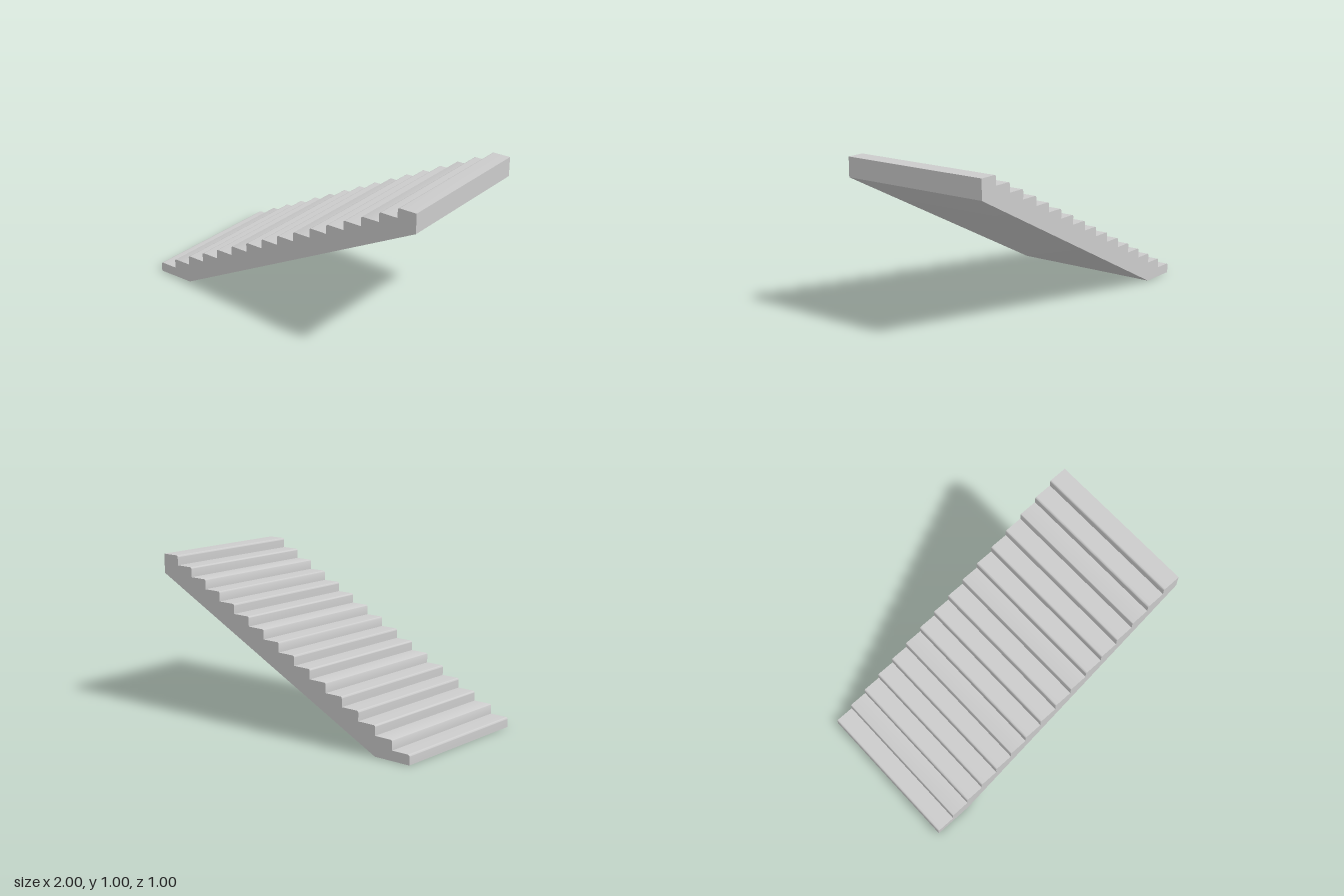
import * as THREE from 'three';
import { toCreasedNormals } from 'three/addons/utils/BufferGeometryUtils.js';

const STEPS = 16;
const RUN = 2 / STEPS;
const RISE = 1 / STEPS;
const WIDTH = 1;
const NOSE = 0.012; // radius of the rounded step edge

// Side profile: sloped underside, then rounded steps climbing toward +x
function stairProfile() {
  const shape = new THREE.Shape();
  shape.moveTo(1, 1);
  shape.lineTo(1, 0.875);
  shape.lineTo(-0.75, 0);
  shape.lineTo(-1, 0);
  for (let i = 0; i < STEPS; i++) {
    const x = -1 + i * RUN;
    const top = (i + 1) * RISE;
    shape.lineTo(x, top - NOSE);
    shape.absarc(x + NOSE, top - NOSE, NOSE, Math.PI, Math.PI / 2, true);
    shape.lineTo(x + RUN, top);
  }
  return shape;
}

export function createModel() {
  const group = new THREE.Group();
  group.name = 'staircase';

  // Solid flight of stairs, extruded across its width
  const extruded = new THREE.ExtrudeGeometry(stairProfile(), {
    depth: WIDTH, bevelEnabled: false, curveSegments: 4,
  });
  extruded.translate(0, 0, -WIDTH / 2);
  const flight = new THREE.Mesh(
    toCreasedNormals(extruded, Math.PI / 6),
    new THREE.MeshStandardMaterial({ color: 0xcccccc }),
  );
  flight.name = 'stairFlight';
  group.add(flight);

  return group;
}
